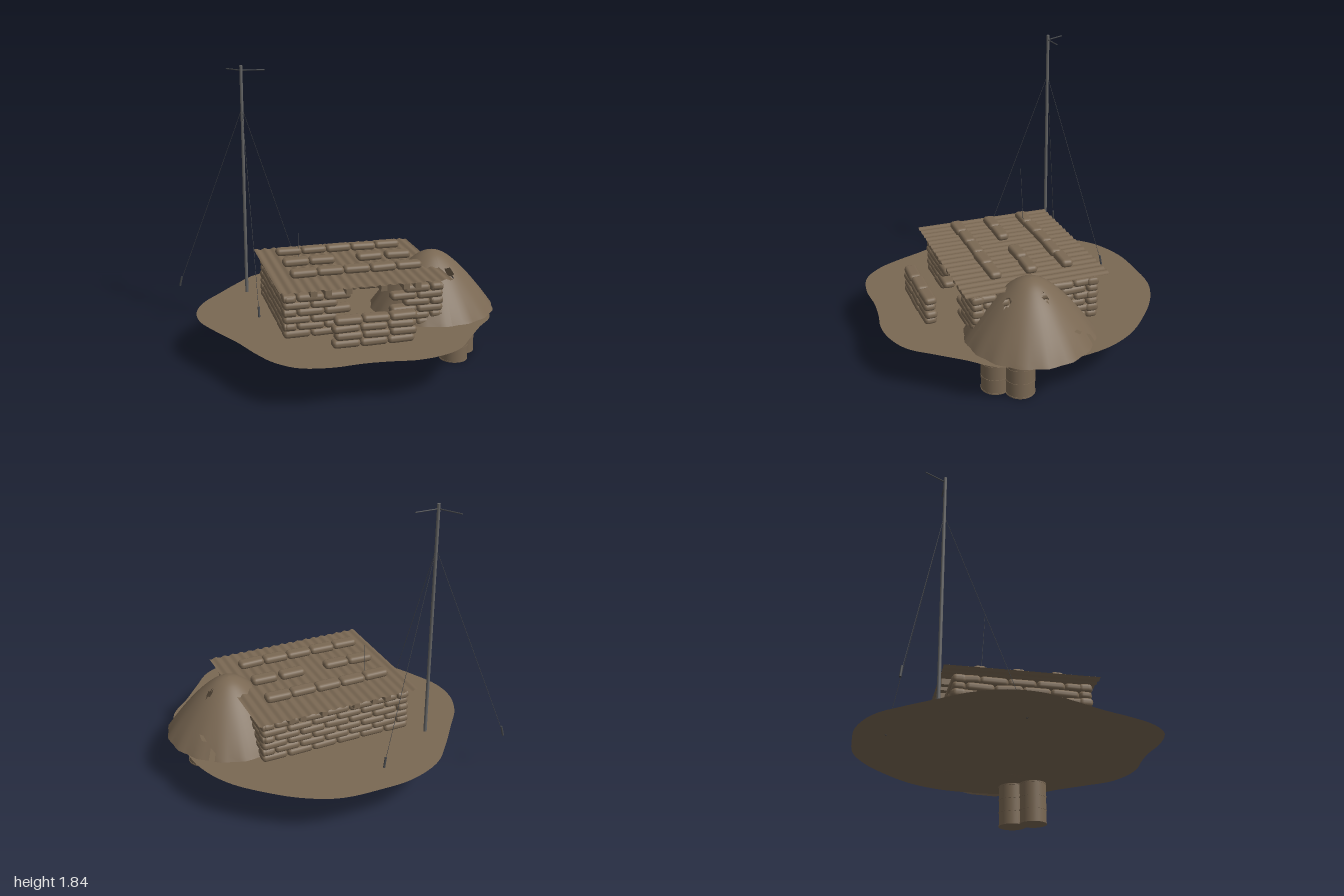
import * as THREE from 'three';
import { RoundedBoxGeometry } from 'three/addons/geometries/RoundedBoxGeometry.js';

const GROUND = 0.28;

export function createModel() {
  const root = new THREE.Group();
  root.name = 'sandbagBunker';

  const mat = (name, color, side = THREE.FrontSide) => {
    const m = new THREE.MeshStandardMaterial({ color, side });
    m.name = name;
    return m;
  };
  const earth = mat('earthBrown', 0x7a6853, THREE.DoubleSide);
  const metal = mat('mastGrey', 0x636363);
  const dark = mat('wireGrey', 0x45474a);

  const group = (name) => {
    const g = new THREE.Group();
    g.name = name;
    root.add(g);
    return g;
  };
  const add = (parent, name, geo, material, x = 0, y = 0, z = 0) => {
    const m = new THREE.Mesh(geo, material);
    m.name = name;
    m.position.set(x, y, z);
    parent.add(m);
    return m;
  };
  // round bar between two points
  const bar = (parent, name, a, b, r, material, rTop = r, sides = 8) => {
    const p = new THREE.Vector3(...a), q = new THREE.Vector3(...b);
    const d = q.clone().sub(p);
    const m = add(parent, name, new THREE.CylinderGeometry(rTop, r, d.length(), sides), material);
    m.position.copy(p).add(q).multiplyScalar(0.5);
    m.quaternion.setFromUnitVectors(new THREE.Vector3(0, 1, 0), d.normalize());
    return m;
  };
  let seed = 7;
  const rand = () => (seed = (seed * 16807) % 2147483647) / 2147483647;
  const jitter = (a) => (rand() - 0.5) * 2 * a;

  // Ground patch with a wavering outline (x, z)
  const outline = [
    [0, -0.93], [0.25, -0.91], [0.45, -0.82], [0.63, -0.68], [0.8, -0.5], [0.9, -0.3], [0.94, -0.05],
    [0.93, 0.2], [0.87, 0.4], [0.75, 0.53], [0.62, 0.69], [0.5, 0.83], [0.35, 0.9], [0.2, 0.92],
    [0.05, 0.9], [-0.1, 0.89], [-0.3, 0.9], [-0.48, 0.86], [-0.6, 0.75], [-0.68, 0.6], [-0.76, 0.4],
    [-0.86, 0.2], [-0.94, 0], [-0.94, -0.18], [-0.87, -0.35], [-0.75, -0.5], [-0.6, -0.68],
    [-0.45, -0.83], [-0.22, -0.92],
  ].map(([x, z]) => new THREE.Vector3(x, -z, 0));
  const edge = new THREE.CatmullRomCurve3(outline, true).getPoints(120);
  const patch = new THREE.ShapeGeometry(new THREE.Shape(edge.map((p) => new THREE.Vector2(p.x, p.y))));
  patch.rotateX(-Math.PI / 2);
  add(root, 'groundPatch', patch, earth, 0, GROUND, 0);

  // Sandbag: a pillow with a slight bulge and pinched ends
  const bagGeo = new RoundedBoxGeometry(0.172, 0.052, 0.084, 2, 0.023);
  const bp = bagGeo.attributes.position;
  for (let i = 0; i < bp.count; i++) {
    const k = 1 - 0.14 * Math.pow(Math.abs(bp.getX(i)) / 0.086, 4);
    bp.setY(i, bp.getY(i) * k);
    bp.setZ(i, bp.getZ(i) * k);
  }
  const bag = (parent, x, y, z, turn = 0, length = 1) => {
    const m = add(parent, 'sandbag', bagGeo, earth, x, y, z + jitter(0.003));
    m.rotation.set(jitter(0.04), turn + jitter(0.03), jitter(0.02));
    m.scale.set(length, 1 + jitter(0.04), 1 + jitter(0.04));
  };

  // Bunker walls: six courses in running bond, doorway in the front
  const walls = group('bunkerWalls');
  const COURSE = 0.045;
  for (let c = 0; c < 6; c++) {
    const y = GROUND + 0.025 + c * COURSE;
    const odd = c % 2;
    for (let i = 0; i < 6 - odd; i++) {
      const x = -0.395 + 0.17 * (i + odd / 2);
      bag(walls, x, y, -0.36);
      if (x < -0.1 || x > 0.25) bag(walls, x, y, 0.393);
    }
    for (const x of [-0.438, 0.495]) {
      for (let i = 0; i < 4 + odd; i++) {
        const z = -0.236 + 0.168 * (i - odd / 2);
        bag(walls, x, y, z, Math.PI / 2);
      }
    }
    // half bags close the corners of the shifted courses
    if (odd) for (const x of [-0.44, 0.5]) for (const z of [-0.36, 0.393]) bag(walls, x, y, z, 0, 0.5);
  }

  // Blast wall before the doorway
  const blast = group('blastWall');
  for (let c = 0; c < 4; c++) {
    for (let i = 0; i < 3; i++) {
      bag(blast, -0.14 + 0.17 * i + (c % 2 ? 0.01 : -0.005), GROUND + 0.025 + c * 0.047, 0.62);
    }
  }

  // Roof beams and corrugated sheet
  const roof = group('roof');
  for (const x of [-0.3, -0.21, -0.08, 0.14, 0.285, 0.36]) {
    add(roof, 'roofBeam', new THREE.BoxGeometry(0.04, 0.036, 0.91), earth, x, 0.566, 0.013);
  }
  const sheet = new THREE.PlaneGeometry(1.09, 0.935, 180, 1);
  sheet.rotateX(-Math.PI / 2);
  const sp = sheet.attributes.position;
  for (let i = 0; i < sp.count; i++) {
    sp.setY(i, 0.005 * Math.sin((sp.getX(i) / 1.09) * Math.PI * 2 * 18));
  }
  sheet.computeVertexNormals();
  add(roof, 'corrugatedSheet', sheet, earth, 0.035, 0.59, 0.0125);

  // Weight bags on the roof, a gap in the middle row
  const weights = group('roofBags');
  [-0.225, 0.01, 0.245].forEach((z, row) => {
    for (let i = 0; i < 5; i++) {
      if (row === 1 && i === 2) continue;
      const shift = row === 1 && i === 3 ? -0.02 : 0;
      bag(weights, -0.315 + 0.17 * i + shift, 0.633, z);
    }
  });

  // Draped net mound: fluted hem and torn holes
  const SEG = 64;
  const profile = new THREE.CatmullRomCurve3([
    [0, 0.665], [0.04, 0.658], [0.09, 0.635], [0.15, 0.588], [0.2, 0.54], [0.25, 0.485],
    [0.32, 0.4], [0.37, 0.335], [0.41, 0.28],
  ].map(([r, y]) => new THREE.Vector3(r, y, 0))).getPoints(20);
  const net = new THREE.LatheGeometry(
    profile.reverse().map((p) => new THREE.Vector2(Math.max(p.x, 0), p.y)), SEG);
  const np = net.attributes.position;
  for (let i = 0; i < np.count; i++) {
    const x = np.getX(i), z = np.getZ(i), a = Math.atan2(z, x);
    const hem = Math.pow(Math.hypot(x, z) / 0.41, 5);
    const k = 1 + hem * (0.012 * Math.sin(a * 16) - 0.012) + 0.01 * Math.sin(a * 3 + 1);
    np.setX(i, x * k);
    np.setZ(i, z * k);
  }
  net.computeVertexNormals();
  const holes = [[0.06, 0.17, 0.026], [0.14, -0.04, 0.022], [0.25, -0.21, 0.018], [0.23, -0.31, 0.026]];
  const keep = [];
  const ix = net.index.array;
  for (let i = 0; i < ix.length; i += 3) {
    const t = [ix[i], ix[i + 1], ix[i + 2]];
    const cx = t.reduce((s, v) => s + np.getX(v), 0) / 3;
    const cz = t.reduce((s, v) => s + np.getZ(v), 0) / 3;
    if (!holes.some(([x, z, r]) => Math.hypot(cx - x, cz - z) < r)) keep.push(...t);
  }
  net.setIndex(keep);
  add(root, 'netMound', net, earth, 0.585, 0, 0.08);

  // Two ribbed drums under the mound
  const drums = group('drums');
  for (const [x, z] of [[0.657, 0.33], [0.75, 0.205]]) {
    add(drums, 'drum', new THREE.CylinderGeometry(0.09, 0.09, 0.28, 28), earth, x, 0.14, z);
    for (const y of [0.004, 0.095, 0.185, 0.276]) {
      add(drums, 'drumRib', new THREE.CylinderGeometry(0.0925, 0.0925, 0.008, 28), earth, x, y, z);
    }
  }

  // Radio mast with two arms, three guy wires and stakes
  const mast = group('radioMast');
  const MX = -0.56, MZ = -0.487;
  bar(mast, 'mastPole', [MX, GROUND, MZ], [MX, 1.84, MZ], 0.011, metal, 0.01, 12);
  bar(mast, 'mastArm', [MX, 1.808, MZ], [-0.405, 1.808, MZ], 0.004, dark);
  bar(mast, 'mastArm', [MX, 1.808, MZ], [-0.638, 1.808, -0.62], 0.004, dark);
  for (const [x, z] of [[-0.99, -0.735], [-0.13, -0.735], [MX, 0.01]]) {
    const ux = (x - MX) / 0.497, uz = (z - MZ) / 0.497;
    bar(mast, 'guyWire', [MX, 1.56, MZ], [x, 0.31, z], 0.0015, dark, 0.0015, 5);
    bar(mast, 'guyStake', [x + ux * 0.008, 0.278, z + uz * 0.008],
      [x - ux * 0.008, 0.345, z - uz * 0.008], 0.007, dark);
  }

  // Whip aerial on the roof
  bar(root, 'whipAerial', [-0.255, 0.585, -0.2], [-0.255, 1.055, -0.175], 0.002, dark, 0.001, 6);

  return root;
}
